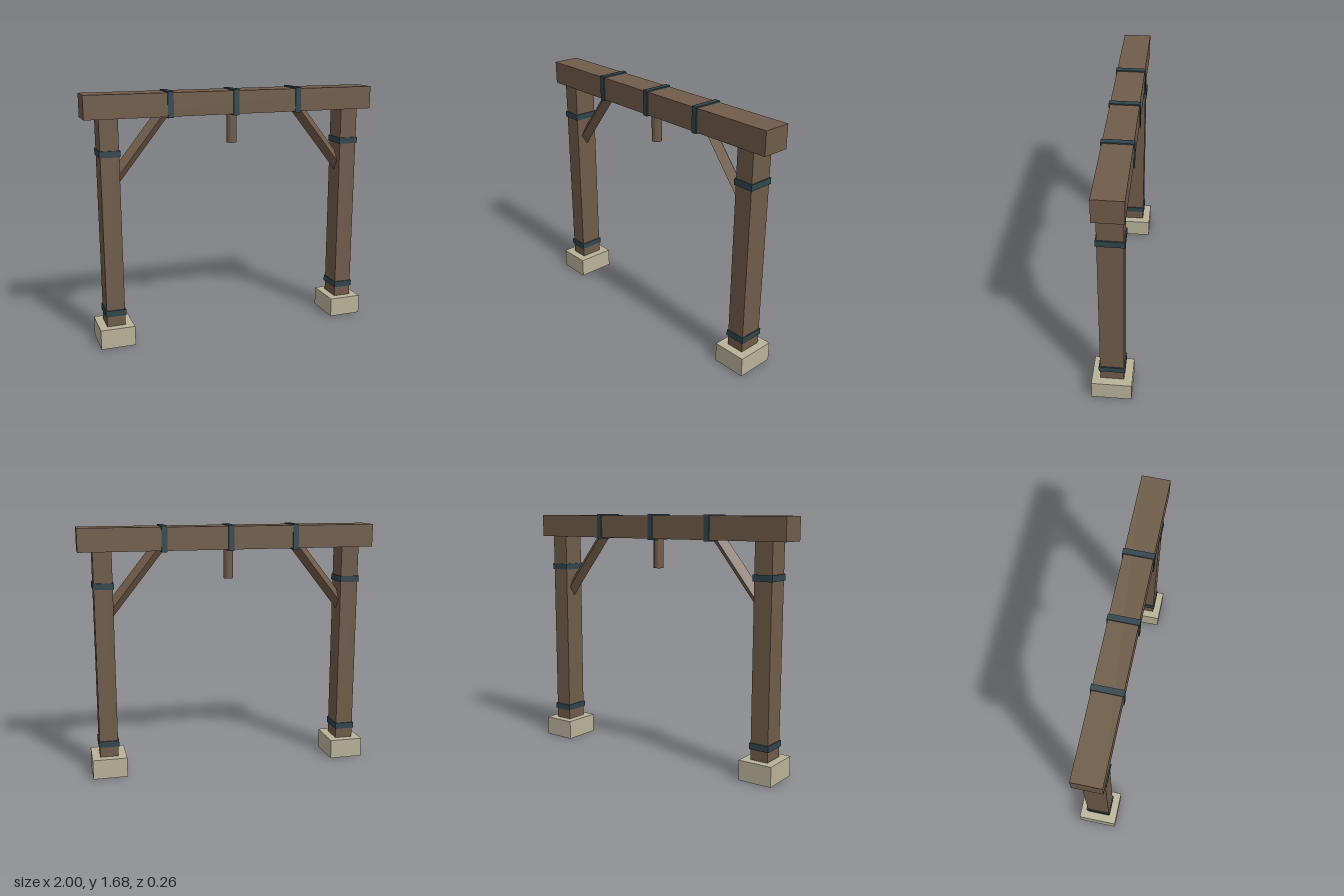
import * as THREE from 'three';

const wood = new THREE.MeshStandardMaterial({ color: 0x705c49, flatShading: true });
wood.name = 'brownWood';
const stone = new THREE.MeshStandardMaterial({ color: 0xbab39a, flatShading: true });
stone.name = 'paleStone';
const iron = new THREE.MeshStandardMaterial({ color: 0x30464d, flatShading: true });
iron.name = 'darkIron';

export function createModel() {
  const model = new THREE.Group();
  model.name = 'timberFrame';

  const add = (name, geometry, material, x, y, z = 0) => {
    const mesh = new THREE.Mesh(geometry, material);
    mesh.name = name;
    mesh.position.set(x, y, z);
    model.add(mesh);
    return mesh;
  };
  // Box given by centre x, vertical range, width and depth
  const box = (name, material, x, y0, y1, w, d) =>
    add(name, new THREE.BoxGeometry(w, y1 - y0, d), material, x, (y0 + y1) / 2);

  // Crossbeam with three iron straps
  box('crossbeam', wood, 0, 1.515, 1.668, 2, 0.186);
  for (const x of [-0.445, 0, 0.445]) box('beamStrap', iron, x, 1.507, 1.676, 0.038, 0.2);

  // Hanging peg under the middle of the beam
  add('peg', new THREE.CylinderGeometry(0.034, 0.034, 0.22, 12), wood, 0, 1.425);

  for (const [side, s] of [['right', -1], ['left', 1]]) {
    // Footing, post and its two iron bands
    const x = s * 0.845;
    box(side + 'Footing', stone, x, 0.002, 0.135, 0.23, 0.264);
    box(side + 'Post', wood, x, 0, 1.53, 0.122, 0.156);
    box(side + 'LowerBand', iron, x, 0.205, 0.246, 0.136, 0.172);
    box(side + 'UpperBand', iron, x, 1.273, 1.314, 0.136, 0.172);

    // Diagonal brace with a diamond cross-section
    const a = new THREE.Vector3(s * 0.825, 1.095, 0);
    const b = new THREE.Vector3(s * 0.462, 1.55, 0);
    const dir = b.clone().sub(a);
    const mid = a.clone().add(b).multiplyScalar(0.5);
    const brace = add(side + 'Brace', new THREE.CylinderGeometry(0.043, 0.043, dir.length(), 4), wood, mid.x, mid.y);
    brace.rotation.z = Math.atan2(-dir.x, dir.y);
  }
  return model;
}
